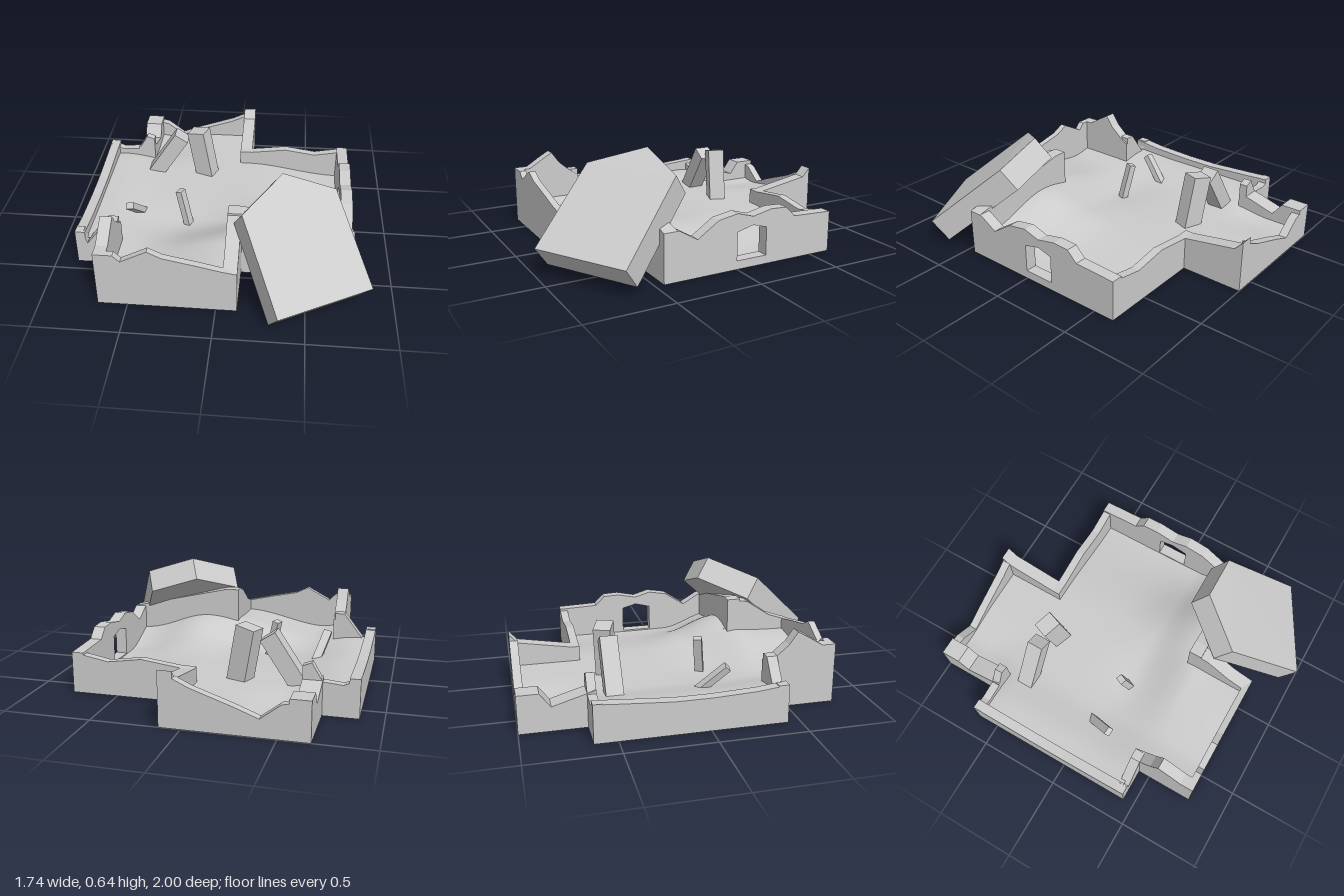
import * as THREE from 'three';
import { ConvexGeometry } from 'three/addons/geometries/ConvexGeometry.js';

const V = (x, y, z) => new THREE.Vector3(x, y, z);
const smooth = THREE.MathUtils.smoothstep;

export function createModel() {
  const group = new THREE.Group();
  const stone = new THREE.MeshStandardMaterial({ color: 0xcccccc, flatShading: true });
  const rubble = new THREE.MeshStandardMaterial({ color: 0xcccccc, side: THREE.DoubleSide });

  const add = (name, geometry, material = stone) => {
    const mesh = new THREE.Mesh(geometry, material);
    mesh.name = name;
    group.add(mesh);
    return mesh;
  };

  // Broken wall: profile is [position along wall, height], from..to is the thickness
  const wall = (name, axis, from, to, profile, window) => {
    const shape = new THREE.Shape();
    shape.moveTo(profile[0][0], 0);
    shape.lineTo(profile[profile.length - 1][0], 0);
    [...profile].reverse().forEach(([t, h]) => shape.lineTo(t, h));
    if (window) shape.holes.push(new THREE.Path(window.map(([t, h]) => new THREE.Vector2(t, h))));
    const g = new THREE.ExtrudeGeometry(shape, { depth: to - from, bevelEnabled: false });
    if (axis === 'x') g.translate(0, 0, from);
    else g.rotateY(-Math.PI / 2).translate(to, 0, 0);
    add(name, g);
  };

  // Cross-shaped foundation
  const plan = [[-0.67, -1], [0.12, -1], [0.12, -0.63], [0.77, -0.63], [0.77, 0.45], [0.12, 0.45],
    [0.12, 0.78], [-0.67, 0.78], [-0.67, 0.43], [-0.87, 0.43], [-0.87, -0.63], [-0.67, -0.63]];
  const outline = new THREE.Shape(plan.map(([x, z]) => new THREE.Vector2(x, -z)));
  add('foundation', new THREE.ExtrudeGeometry(outline, { depth: 0.03, bevelEnabled: false }).rotateX(-Math.PI / 2));

  // Front arm walls
  wall('frontWall', 'x', 0.74, 0.78, [[-0.67, 0.35], [-0.56, 0.35], [-0.52, 0.31], [-0.37, 0.39],
    [-0.29, 0.35], [-0.1, 0.31], [0.03, 0.28], [0.12, 0.265]]);
  wall('frontArmRightWall', 'z', -0.67, -0.6, [[0.37, 0.27], [0.43, 0.31], [0.5, 0.37], [0.55, 0.44],
    [0.62, 0.4], [0.7, 0.35], [0.78, 0.35]]);
  wall('frontArmLeftWall', 'z', 0.04, 0.12, [[0.37, 0.43], [0.5, 0.41], [0.65, 0.31], [0.78, 0.265]]);

  // Arm with the window
  wall('windowWall', 'z', 0.7, 0.77, [[-0.63, 0.24], [-0.38, 0.25], [-0.32, 0.31], [-0.22, 0.315],
    [-0.1, 0.29], [0, 0.32], [0.12, 0.3], [0.25, 0.215], [0.36, 0.28], [0.45, 0.28]],
  [[-0.19, 0.05], [-0.19, 0.215], [-0.1, 0.24], [0, 0.215], [0, 0.05]]);
  wall('windowArmFrontWall', 'x', 0.37, 0.45, [[0.04, 0.43], [0.12, 0.43], [0.77, 0.28]]);
  wall('windowArmBackWall', 'x', -0.63, -0.58, [[0.04, 0.2], [0.12, 0.2], [0.35, 0.23], [0.55, 0.2], [0.77, 0.24]]);

  // Back arm walls
  wall('backWall', 'x', -1, -0.95, [[-0.67, 0.22], [-0.52, 0.185], [-0.41, 0.1], [-0.28, 0.15],
    [-0.045, 0.23], [0.04, 0.27]]);
  wall('backArmRightWall', 'z', -0.67, -0.56, [[-1, 0.22], [-0.88, 0.22], [-0.82, 0.14], [-0.72, 0.17], [-0.58, 0.21]]);
  wall('backArmLeftWall', 'z', 0.04, 0.12, [[-1, 0.31], [-0.95, 0.255], [-0.63, 0.2], [-0.58, 0.2]]);

  // Low arm opposite the window
  wall('lowArmOuterWall', 'z', -0.87, -0.81, [[-0.63, 0.22], [-0.5, 0.21], [-0.2, 0.19], [0, 0.19],
    [0.25, 0.2], [0.43, 0.22]]);
  wall('lowArmFrontWall', 'x', 0.37, 0.43, [[-0.87, 0.22], [-0.82, 0.22], [-0.8, 0.14], [-0.67, 0.31], [-0.61, 0.31]]);
  wall('lowArmBackWall', 'x', -0.63, -0.58, [[-0.87, 0.22], [-0.78, 0.18], [-0.67, 0.19], [-0.61, 0.29], [-0.56, 0.27]]);

  // Uneven rubble floor, with mounds and a shallow hollow
  const hump = (x, z, cx, cz, r) => Math.exp(-((x - cx) ** 2 + (z - cz) ** 2) / (r * r));
  const floorHeight = (x, z) => 0.11 + smooth(z, 0.1, 0.45) * (0.01 + 0.09 * smooth(x, -0.5, 0.04))
    - 0.07 * smooth(x, 0.1, 0.7) + 0.08 * hump(x, z, 0.3, 0.25, 0.25)
    - 0.03 * hump(x, z, -0.3, 0.17, 0.22) + 0.04 * smooth(-x, 0.45, 0.75)
    - 0.03 * smooth(-z, 0.5, 0.8) * smooth(-x, 0.2, 0.5);
  const floorPatch = (name, x0, x1, z0, z1) => {
    const g = new THREE.PlaneGeometry(x1 - x0, z1 - z0, 40, 40).rotateX(-Math.PI / 2)
      .translate((x0 + x1) / 2, 0, (z0 + z1) / 2);
    const p = g.attributes.position;
    for (let i = 0; i < p.count; i++) p.setY(i, floorHeight(p.getX(i), p.getZ(i)));
    g.computeVertexNormals();
    add(name, g, rubble);
  };
  floorPatch('rubbleCentre', -0.64, 0.08, -0.6, 0.4);
  floorPatch('rubbleFront', -0.64, 0.08, 0.4, 0.76);
  floorPatch('rubbleBack', -0.64, 0.08, -0.98, -0.6);
  floorPatch('rubbleWindowArm', 0.08, 0.74, -0.6, 0.41);
  floorPatch('rubbleLowArm', -0.84, -0.64, -0.6, 0.4);

  // Fallen beams, each running between two points
  const beam = (name, a, b, width, depth, twist = 0) => {
    const dir = b.clone().sub(a);
    const mesh = add(name, new THREE.BoxGeometry(width, dir.length(), depth).rotateY(twist));
    mesh.quaternion.setFromUnitVectors(V(0, 1, 0), dir.normalize());
    mesh.position.copy(a).add(b).multiplyScalar(0.5);
  };
  beam('leaningBeam', V(-0.55, 0.07, -0.465), V(-0.345, 0.38, -0.465), 0.1, 0.1);
  beam('uprightBeam', V(-0.17, 0.06, -0.45), V(-0.235, 0.42, -0.47), 0.12, 0.1, -0.35);
  beam('sidePlank', V(-0.54, 0.09, 0.01), V(-0.59, 0.24, 0.17), 0.05, 0.04);
  beam('smallPost', V(-0.23, 0.06, 0.11), V(-0.285, 0.31, 0.08), 0.04, 0.05, -0.4);

  // Fallen five-sided gable slab leaning on the corner
  const face = [V(0.35, 0.16, 1), V(0.865, 0.16, 0.71), V(0.645, 0.54, 0.31), V(0.34, 0.637, 0.325), V(0.13, 0.535, 0.6)];
  const inward = V(-0.05, -0.12, -0.085);
  add('fallenGable', new ConvexGeometry([...face, ...face.map((p) => p.clone().add(inward))]));

  return group;
}
